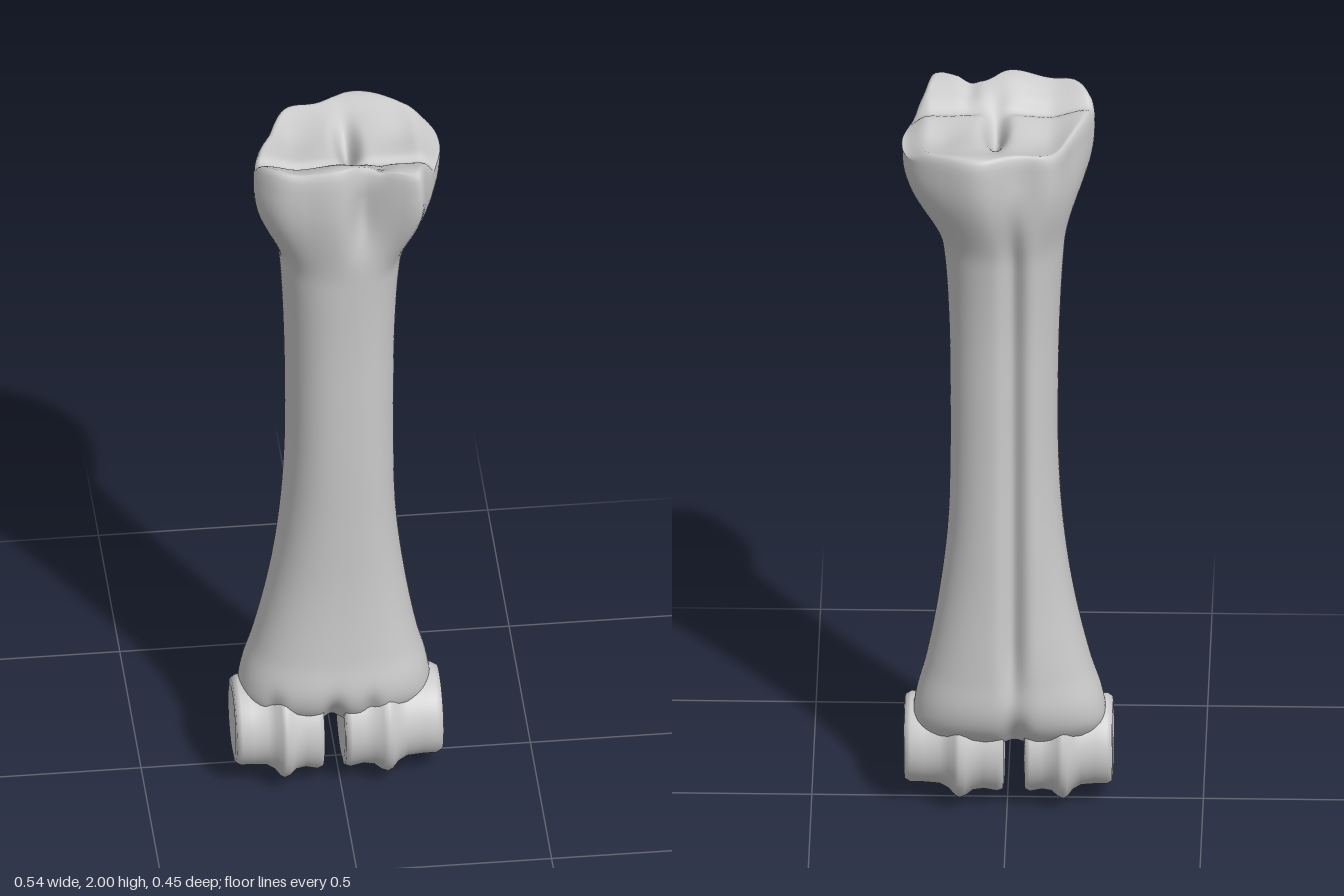
import * as THREE from 'three';

const N = 120;
const bell = (v, centre, width) => Math.exp(-(((v - centre) / width) ** 2));
const lerp = THREE.MathUtils.lerp;
const smooth = THREE.MathUtils.smoothstep;

// Shaft cross-sections: y, then right, left, back and front extents
const SECTIONS = [
  [0.2, -0.23, 0.225, -0.085, 0.115], [0.25, -0.25, 0.24, -0.125, 0.15],
  [0.3, -0.245, 0.235, -0.142, 0.163], [0.4, -0.215, 0.21, -0.14, 0.152],
  [0.6, -0.17, 0.175, -0.132, 0.142], [0.8, -0.143, 0.153, -0.13, 0.146],
  [1.0, -0.131, 0.147, -0.13, 0.154], [1.2, -0.13, 0.147, -0.134, 0.16],
  [1.4, -0.134, 0.15, -0.14, 0.166], [1.6, -0.145, 0.163, -0.158, 0.177],
  [1.7, -0.155, 0.18, -0.172, 0.183], [1.8, -0.178, 0.212, -0.19, 0.188],
  [1.92, -0.22, 0.265, -0.22, 0.2],
];
const extents = new THREE.CubicInterpolant(
  SECTIONS.map(s => s[0]), SECTIONS.flatMap(s => s.slice(1)), 4);

// Rim of the upper end seen from above (x, z)
const RIM = [
  [0.27, -0.02], [0.25, 0.07], [0.222, 0.15], [0.192, 0.222], [0.15, 0.208],
  [0.065, 0.175], [-0.01, 0.21], [-0.09, 0.2], [-0.17, 0.178], [-0.22, 0.11],
  [-0.208, 0.03], [-0.17, -0.06], [-0.115, -0.175], [-0.03, -0.185],
  [0.07, -0.225], [0.16, -0.19], [0.25, -0.115],
];
const CX = 0.02;
const rimPoints = new THREE.CatmullRomCurve3(
  RIM.map(([x, z]) => new THREE.Vector3(x, 0, z)), true).getPoints(600);

// Distance from the axis to the rim in a given direction
function rimRadius(angle) {
  let best = 9, radius = 0;
  for (const p of rimPoints) {
    const d = Math.abs(Math.atan2(
      Math.sin(Math.atan2(p.z, p.x - CX) - angle), Math.cos(Math.atan2(p.z, p.x - CX) - angle)));
    if (d < best) { best = d; radius = Math.hypot(p.x - CX, p.z); }
  }
  return radius;
}
const rim = Array.from({ length: N }, (_, j) => rimRadius(j / N * Math.PI * 2));

// One point on the outside of the shaft
function shaftPoint(y, j) {
  const [x0, x1, z0, z1] = extents.evaluate(y);
  const angle = j / N * Math.PI * 2, c = Math.cos(angle), s = Math.sin(angle);
  const mid = lerp((x0 + x1) / 2, CX, smooth(y, 1.5, 1.9));
  const a = c > 0 ? x1 - mid : mid - x0, b = s > 0 ? z1 : -z0;
  const n = 2.4;
  let r = (Math.abs(c / a) ** n + Math.abs(s / b) ** n) ** (-1 / n);
  r = lerp(r, rim[j], smooth(y, 1.62, 1.91));
  const x = mid + r * c;
  let z = r * s;
  if (s < 0) {
    // long groove down the back, with a low ridge beside it
    const along = smooth(y, 0.25, 0.5) * (1 - smooth(y, 1.6, 1.85));
    z += along * (0.026 * bell(x, -0.015, 0.024) - 0.008 * bell(x, -0.07, 0.03));
    z += 0.03 * bell(y, 0.22, 0.08) * bell(x, -0.02, 0.03);
  } else {
    // shallow furrows at both ends of the front
    z -= 0.035 * bell(y, 0.21, 0.07) * bell(x, -0.02, 0.025);
    z -= 0.015 * bell(y, 0.25, 0.05) * (bell(x, -0.17, 0.02) + bell(x, 0.075, 0.02));
    z -= 0.018 * bell(y, 1.83, 0.09) * bell(x, 0.05, 0.03);
  }
  return [x, y, z];
}

// Height of the joint surface at the upper end
function jointHeight(x, z) {
  let y = 1.945 + 0.045 * smooth(z, 0.06, 0.2) + 0.012 * bell(z, -0.2, 0.05);
  y += 0.018 * bell(x, 0, 0.07) * bell(z, 0.17, 0.07);
  y += 0.02 * smooth(-x, 0.1, 0.2) - 0.035 * smooth(x, 0.2, 0.27);
  y -= 0.018 * bell(x, -0.1, 0.07) * bell(z, -0.05, 0.09);
  y -= 0.018 * bell(x, 0.17, 0.06) * bell(z, -0.05, 0.08);
  y -= 0.06 * bell(x, 0.03, 0.026) * bell(z, -0.01, 0.085);
  y -= 0.015 * bell(z, 0.085, 0.018) * (1 - bell(x, 0.03, 0.04));
  y -= 0.012 * bell(x, 0.1, 0.02) * smooth(z, 0.08, 0.14);
  return y;
}

function shaftGeometry() {
  const rows = [];
  const ring = f => rows.push(Array.from({ length: N }, (_, j) => f(j)));
  // underside, walls, rounded lip, joint surface
  for (const k of [0.01, 0.5, 0.9]) {
    ring(j => { const [x, , z] = shaftPoint(0.2, j); return [x * k, 0.2, z * k]; });
  }
  for (let i = 0; i <= 110; i++) ring(j => shaftPoint(lerp(0.2, 1.91, i / 110), j));
  const scaled = (j, k) => {
    const angle = j / N * Math.PI * 2;
    return [CX + rim[j] * k * Math.cos(angle), rim[j] * k * Math.sin(angle)];
  };
  for (const [k, t] of [[0.998, 0.4], [0.985, 0.75], [0.96, 0.95]]) {
    ring(j => { const [x, z] = scaled(j, k); return [x, lerp(1.91, jointHeight(x, z), t), z]; });
  }
  for (let i = 0; i <= 40; i++) {
    ring(j => {
      const [x, z] = scaled(j, lerp(0.93, 0.002, i / 40));
      return [x, jointHeight(x, z), z];
    });
  }
  const index = [];
  for (let i = 0; i < rows.length - 1; i++) {
    for (let j = 0; j < N; j++) {
      const a = i * N + j, b = i * N + (j + 1) % N;
      index.push(a, a + N, b, b, a + N, b + N);
    }
  }
  const geometry = new THREE.BufferGeometry();
  geometry.setAttribute('position', new THREE.Float32BufferAttribute(rows.flat(2), 3));
  geometry.setIndex(index);
  geometry.computeVertexNormals();
  return geometry;
}

// Roller profile from the outer side to the inner: share of width, radius
const ROLLER = [
  [0.05, 0.001], [0.04, 0.06], [0, 0.09], [0.01, 0.108], [0.07, 0.117], [0.2, 0.117],
  [0.36, 0.12], [0.45, 0.132], [0.51, 0.15], [0.56, 0.156], [0.62, 0.15], [0.69, 0.136],
  [0.8, 0.132], [0.93, 0.138], [0.99, 0.132], [1, 0.115], [0.98, 0.001],
];

function rollerGeometry(outer, inner) {
  const points = ROLLER.map(([t, r]) => new THREE.Vector2(r, lerp(outer, inner, t)));
  if (outer > inner) points.reverse();
  return new THREE.LatheGeometry(points, 72).rotateZ(-Math.PI / 2);
}

export function createModel() {
  const group = new THREE.Group();
  group.name = 'cannonBone';
  const material = new THREE.MeshStandardMaterial({ color: 0xcccccc });
  const add = (name, geometry) => {
    const mesh = new THREE.Mesh(geometry, material);
    mesh.name = name;
    group.add(mesh);
    return mesh;
  };
  add('shaft', shaftGeometry());
  // pair of ridged rollers at the lower joint
  for (const [name, outer, inner] of [['rightCondyle', -0.27, -0.043], ['leftCondyle', 0.265, 0.008]]) {
    add(name, rollerGeometry(outer, inner)).position.set(0, 0.16, 0.03);
  }
  return group;
}
